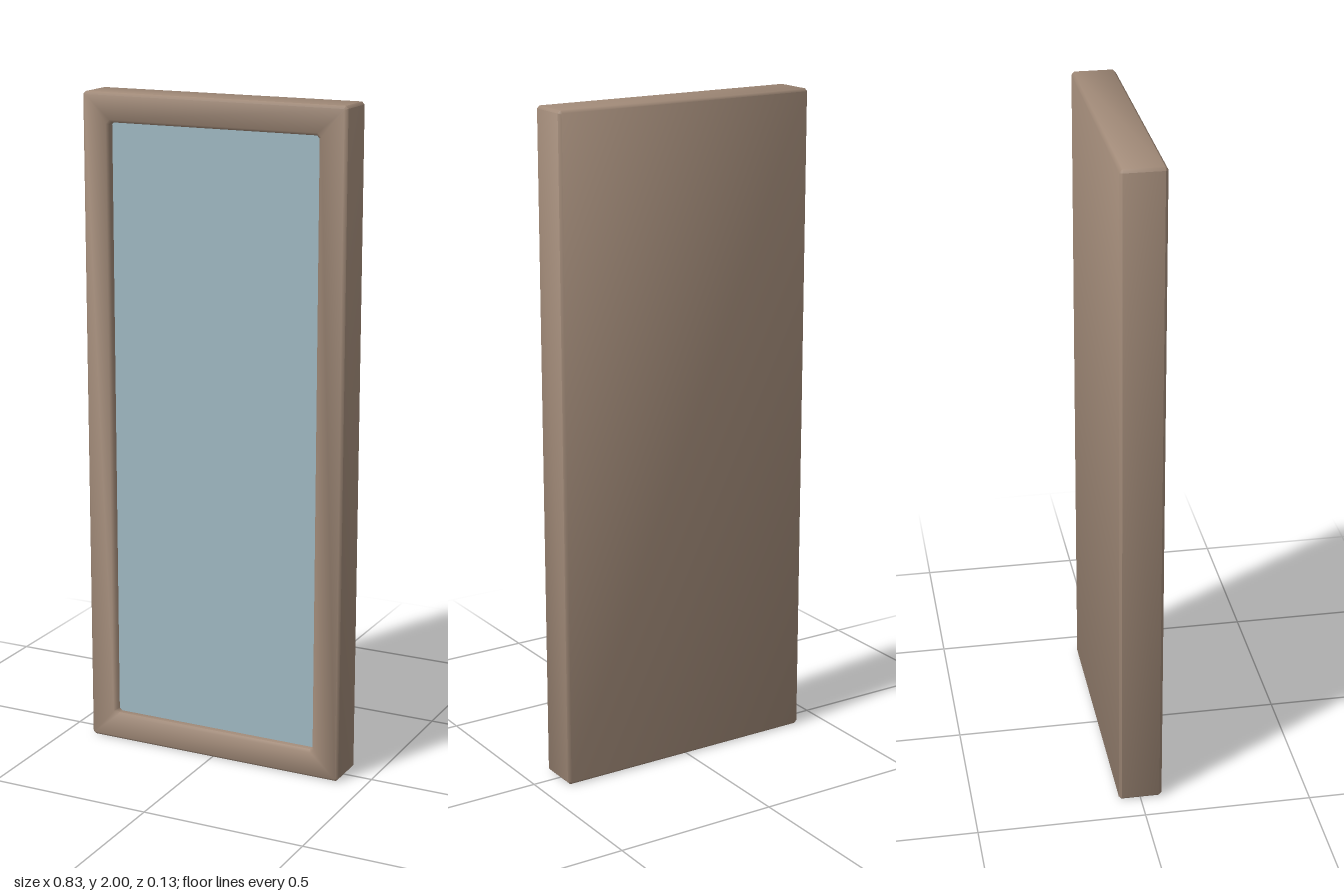
import * as THREE from 'three';
import { toCreasedNormals } from 'three/addons/utils/BufferGeometryUtils.js';

const HALF_W = 0.417, HALF_H = 1, HALF_D = 0.065, BEVEL = 0.008;
const OPEN_W = 0.332, OPEN_H = 0.914, GLASS_Z = 0.04;

// Rectangle with small cut corners, counter-clockwise seen from the front
function ring([w, h, z, c]) {
  return [
    [w, -h + c], [w, h - c], [w - c, h], [-w + c, h],
    [-w, h - c], [-w, -h + c], [-w + c, -h], [w - c, -h],
  ].map(([x, y]) => [x, y, z]);
}

// Joins the rings into a skin and closes the first one at the back
function loft(sections) {
  const rings = sections.map(ring), n = 8, index = [];
  for (let i = 0; i < rings.length - 1; i++) {
    for (let j = 0; j < n; j++) {
      const k = (j + 1) % n;
      const a = i * n + j, b = i * n + k, c = b + n, d = a + n;
      index.push(a, b, c, a, c, d);
    }
  }
  for (let j = 1; j < n - 1; j++) index.push(0, j + 1, j);
  const geometry = new THREE.BufferGeometry();
  geometry.setAttribute('position', new THREE.Float32BufferAttribute(rings.flat(2), 3));
  geometry.setIndex(index);
  return toCreasedNormals(geometry, 0.9);
}

export function createModel() {
  const model = new THREE.Group();
  model.name = 'framedMirror';

  const wood = new THREE.MeshStandardMaterial({ color: 0xa18a78 });
  wood.name = 'brown wood';
  const glass = new THREE.MeshStandardMaterial({ color: 0xa0b9c3 });
  glass.name = 'pale blue glass';

  // Frame: closed back, bevelled outer edges, front border and inner lip
  const frame = new THREE.Mesh(loft([
    [HALF_W - BEVEL, HALF_H - BEVEL, -HALF_D, 0.002],
    [HALF_W, HALF_H, -HALF_D + BEVEL, BEVEL],
    [HALF_W, HALF_H, HALF_D - BEVEL, BEVEL],
    [HALF_W - BEVEL, HALF_H - BEVEL, HALF_D, 0.002],
    [OPEN_W + BEVEL, OPEN_H + BEVEL, HALF_D, 0.012],
    [OPEN_W, OPEN_H, HALF_D - BEVEL, 0.008],
    [OPEN_W, OPEN_H, GLASS_Z - 0.005, 0.008],
  ]), wood);
  frame.name = 'frame';
  frame.position.y = HALF_H;
  model.add(frame);

  // Mirror glass set back inside the frame
  const pane = new THREE.Mesh(new THREE.BoxGeometry(OPEN_W * 2, OPEN_H * 2, 0.008), glass);
  pane.name = 'mirrorGlass';
  pane.position.set(0, HALF_H, GLASS_Z - 0.004);
  model.add(pane);

  return model;
}
